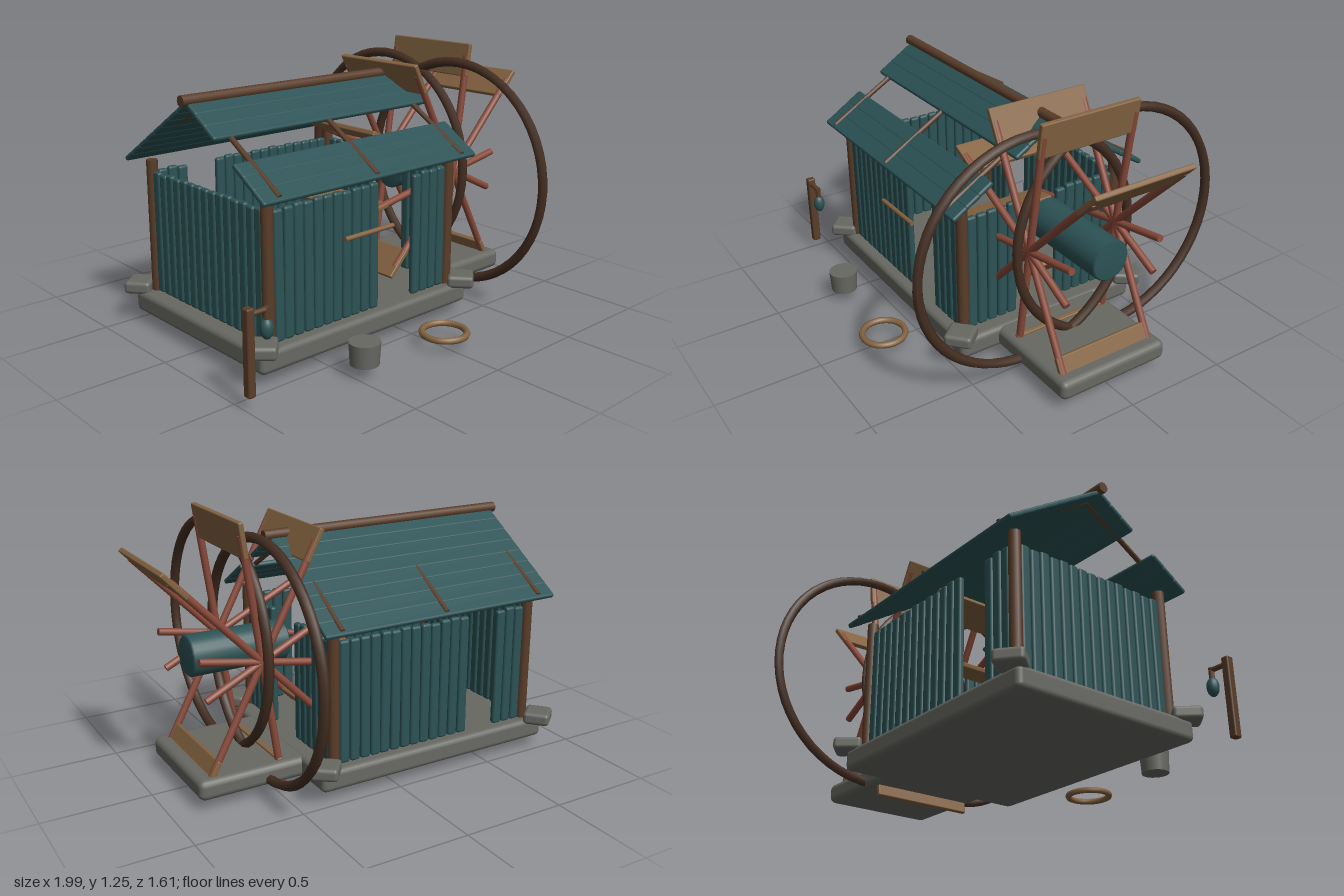
import * as THREE from 'three';
import { RoundedBoxGeometry } from 'three/addons/geometries/RoundedBoxGeometry.js';

function mat(name, color) {
  const m = new THREE.MeshStandardMaterial({ color });
  m.name = name;
  return m;
}

export function createModel() {
  const model = new THREE.Group();
  model.name = 'waterMill';
  const stone = mat('stone grey', 0x686863);
  const teal = mat('painted teal wood', 0x2c5255);
  const red = mat('red spoke wood', 0x8a4a3a);
  const tan = mat('tan board', 0x846341);
  const brown = mat('brown timber', 0x5a3d29);
  const dark = mat('dark rim wood', 0x452f22);

  let seed = 7;
  const jitter = (a) => {
    seed = (seed * 16807) % 2147483647;
    return (seed / 2147483647 - 0.5) * 2 * a;
  };

  function add(name, geo, material, x, y, z, parent = model) {
    const m = new THREE.Mesh(geo, material);
    m.name = name;
    m.position.set(x, y, z);
    parent.add(m);
    return m;
  }
  const box = (w, h, d, r) => new RoundedBoxGeometry(w, h, d, 2, r);

  // round bar between two points
  function bar(name, a, b, r, material, parent = model, sides = 10) {
    const p = new THREE.Vector3(...a), q = new THREE.Vector3(...b);
    const dir = q.clone().sub(p);
    const c = p.clone().add(q).multiplyScalar(0.5);
    const m = add(name, new THREE.CylinderGeometry(r, r, dir.length(), sides), material, c.x, c.y, c.z, parent);
    m.quaternion.setFromUnitVectors(new THREE.Vector3(0, 1, 0), dir.normalize());
    return m;
  }

  // foundation slabs and corner stones
  add('houseSlab', box(1.235, 0.1, 0.965, 0.025), stone, -0.227, 0.11, 0);
  add('wheelSlab', box(0.54, 0.095, 0.57, 0.03), stone, 0.61, 0.108, 0);
  const corners = [[-0.81, -0.49, 0.7], [0.375, -0.475, 0.9], [-0.825, 0.46, 0.85], [0.36, 0.47, 0.72]];
  for (const [x, z, a] of corners) {
    add('cornerStone', box(0.13, 0.06, 0.125, 0.018), stone, x, 0.176, z).rotation.y = a;
  }

  // corner posts
  for (const x of [-0.76, 0.303]) {
    for (const z of [-0.42, 0.42]) bar('cornerPost', [x, 0.14, z], [x, 0.785, z], 0.027, brown);
  }

  // plank walls, each with an optional opening
  function wall(name, count, start, place, gap) {
    const g = new THREE.Group();
    g.name = name;
    for (let i = 0; i < count; i++) {
      const t = start + i * 0.0533;
      if (gap && t > gap[0] && t < gap[1]) continue;
      const h = 0.575 + jitter(0.006);
      const [x, z, turn] = place(t);
      const p = add('plank', box(0.049, h, 0.03, 0.012), teal, x, 0.16 + h / 2, z, g);
      p.rotation.set(0, turn, turn ? 0 : jitter(0.008));
    }
    model.add(g);
  }
  wall('frontWall', 19, -0.708, (t) => [t, 0.42, 0], [-0.15, 0.09]);
  wall('backWall', 19, -0.708, (t) => [t, -0.42, 0], [-0.585, -0.44]);
  wall('leftEndWall', 15, -0.373, (t) => [-0.76, t, Math.PI / 2]);
  wall('wheelSideWall', 15, -0.373, (t) => [0.303, t, Math.PI / 2], [-0.06, 0.115]);
  bar('doorBar', [-0.37, 0.532, 0.453], [-0.085, 0.535, 0.453], 0.011, tan);

  // roof: eight boards per slope, two lost on the front
  const pitch = Math.atan(0.64);
  for (const s of [1, -1]) {
    const g = new THREE.Group();
    g.name = s > 0 ? 'frontRoof' : 'backRoof';
    for (let i = 0; i < 8; i++) {
      if (s > 0 && (i === 3 || i === 4)) continue;
      const z = 0.032 + i * 0.0632;
      const b = add('roofBoard', box(1.235, 0.024, 0.085, 0.01), teal, -0.227, 1.11 - 0.64 * z, s * z, g);
      b.rotation.x = s * (pitch - 0.02);
    }
    for (const x of [-0.757, -0.23, 0.305]) {
      bar('rafter', [x, 1.1, 0], [x, 0.803, s * 0.5], 0.012, brown, g, 8);
    }
    model.add(g);
  }
  bar('ridgeBeam', [-0.867, 1.122, 0], [0.415, 1.122, 0], 0.025, brown);

  // paddle wheel: ten spokes on each side, two of them broken
  const wheel = new THREE.Group();
  wheel.name = 'paddleWheel';
  wheel.position.set(0.55, 0.63, 0);
  model.add(wheel);
  for (let i = 0; i < 10; i++) {
    const a = THREE.MathUtils.degToRad(10 + 36 * i);
    const c = Math.cos(a), s = Math.sin(a);
    const broken = i === 0 || i === 9;
    const len = broken ? 0.295 : 0.57;
    for (const z of [-0.235, 0.235]) bar('spoke', [0, 0, z], [c * len, s * len, z], 0.017, red, wheel);
    if (broken) continue;
    const p = add('paddle', box(0.16, 0.024, 0.506, 0.006), tan, c * 0.548, s * 0.548, 0, wheel);
    p.rotation.z = a;
  }
  const drum = add('axleDrum', new THREE.LatheGeometry([
    [0, -0.235], [0.085, -0.235], [0.095, -0.225], [0.095, 0.225], [0.085, 0.235], [0, 0.235],
  ].map(([x, y]) => new THREE.Vector2(x, y)), 24), teal, 0.02, 0, 0, wheel);
  drum.rotation.z = Math.PI / 2;
  for (const z of [-0.24, 0.24]) {
    add('rimHoop', new THREE.TorusGeometry(0.54, 0.023, 6, 56), dark, 0, 0, z, wheel).rotation.y = Math.PI / 2;
  }

  // hanging lamp on a small post
  add('lampPost', box(0.036, 0.37, 0.04, 0.008), brown, -0.978, 0.245, 0.575);
  bar('lampArm', [-0.975, 0.4, 0.575], [-0.89, 0.4, 0.575], 0.012, brown);
  bar('lampHook', [-0.89, 0.41, 0.575], [-0.89, 0.35, 0.575], 0.013, brown);
  add('lamp', new THREE.SphereGeometry(0.028, 16, 12), teal, -0.89, 0.32, 0.575).scale.y = 1.6;

  // loose items in the yard
  add('stoneStool', new THREE.CylinderGeometry(0.069, 0.063, 0.1, 18), stone, -0.45, 0.112, 0.66);
  const ring = add('ropeRing', new THREE.TorusGeometry(0.1, 0.015, 8, 32), tan, 0.015, 0.072, 0.683);
  ring.rotation.x = Math.PI / 2;

  return model;
}
